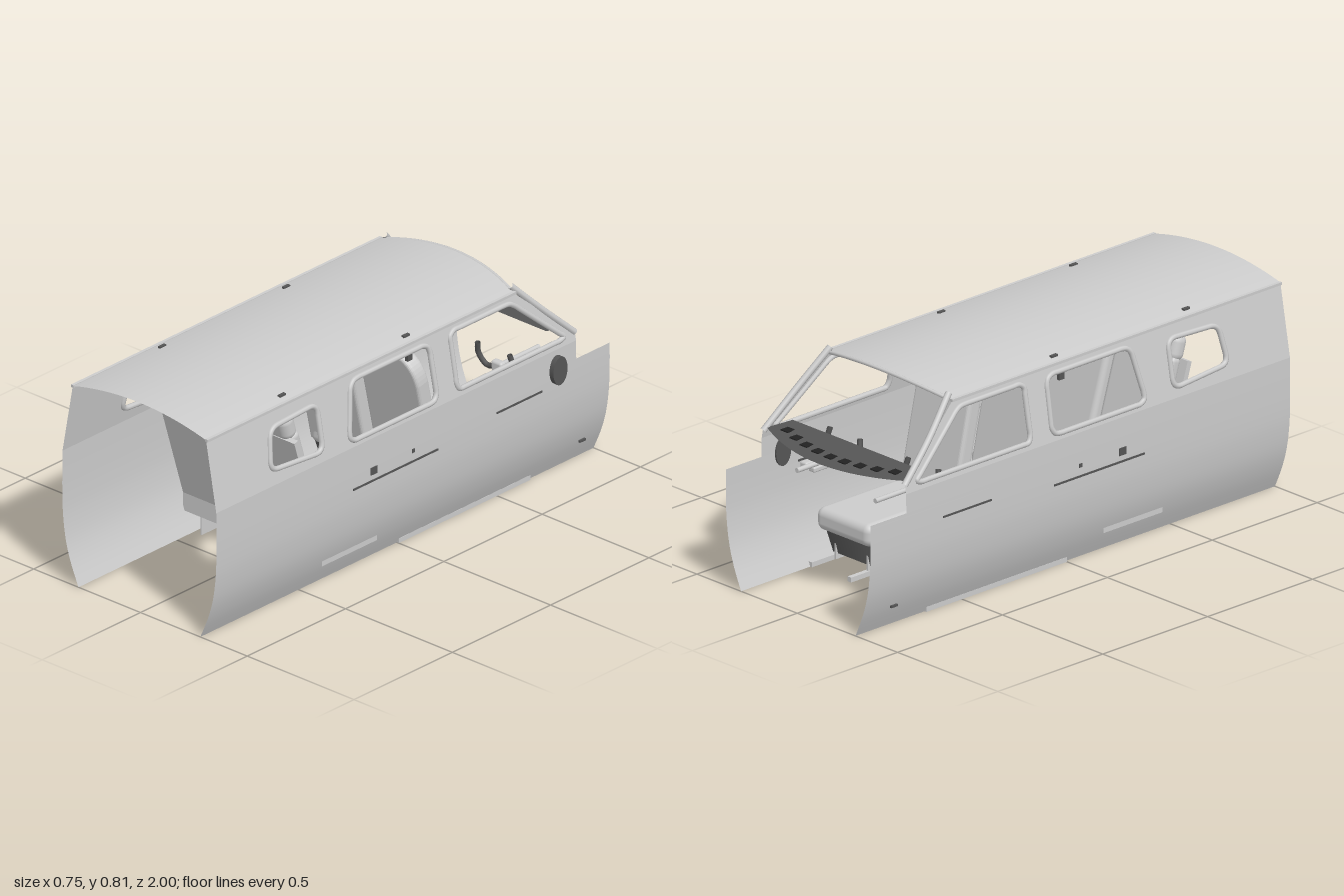
import * as THREE from 'three';
import { RoundedBoxGeometry } from 'three/addons/geometries/RoundedBoxGeometry.js';

const grey = new THREE.MeshStandardMaterial({ color: 0xcccccc });
const skin = new THREE.MeshStandardMaterial({ color: 0xcccccc, side: THREE.DoubleSide });
const dark = new THREE.MeshStandardMaterial({ color: 0x555555, side: THREE.DoubleSide });

const V = (x, y, z) => new THREE.Vector3(x, y, z);
const sides = [1, -1];

export function createModel() {
  const root = new THREE.Group();
  const model = new THREE.Group();
  model.name = 'cabin';
  model.position.x = -0.005;
  root.add(model);

  const add = (name, geo, mat = grey, pos = [0, 0, 0], parent = model) => {
    const m = new THREE.Mesh(geo, mat);
    m.name = name;
    m.position.set(...pos);
    parent.add(m);
    return m;
  };
  const box = (name, w, h, d, x, y, z, mat = grey, parent = model) =>
    add(name, new THREE.BoxGeometry(w, h, d), mat, [x, y, z], parent);
  const soft = (name, w, h, d, x, y, z, r, parent = model) =>
    add(name, new RoundedBoxGeometry(w, h, d, 4, r), grey, [x, y, z], parent);
  const tube = (name, pts, r, closed = false, mat = grey) =>
    add(name, new THREE.TubeGeometry(new THREE.CatmullRomCurve3(pts, closed), pts.length * 4, r, 8, closed), mat);
  // Curved sheet from a rule (u, v in 0..1) -> point
  const sheet = (name, nu, nv, rule, mat = skin) => {
    const g = new THREE.PlaneGeometry(1, 1, nu, nv), p = g.attributes.position;
    for (let i = 0; i < p.count; i++) p.setXYZ(i, ...rule(p.getX(i) + 0.5, p.getY(i) + 0.5));
    g.computeVertexNormals();
    return add(name, g, mat);
  };

  // Side skins: curved belly, plain belt, then a window band leaning inward
  const belly = new THREE.SplineCurve([[0.285, 0], [0.32, 0.08], [0.344, 0.16], [0.357, 0.25], [0.361, 0.34], [0.361, 0.43]]
    .map(p => new THREE.Vector2(...p)));
  const wallX = y => 0.36 - 0.048 * (y - 0.5) / 0.265;
  const roundedPath = (pts, r) => {
    const path = new THREE.Path(), v = pts.map(p => new THREE.Vector2(...p));
    v.forEach((c, i) => {
      const a = v[(i + v.length - 1) % v.length], b = v[(i + 1) % v.length];
      const s = c.clone().add(a.clone().sub(c).setLength(r)), e = c.clone().add(b.clone().sub(c).setLength(r));
      if (i) path.lineTo(s.x, s.y); else path.moveTo(s.x, s.y);
      path.quadraticCurveTo(c.x, c.y, e.x, e.y);
    });
    path.closePath();
    return path;
  };
  const windows = [
    roundedPath([[-0.23, 0.525], [-0.785, 0.525], [-0.54, 0.735], [-0.23, 0.735]], 0.025),
    roundedPath([[0.32, 0.522], [-0.13, 0.522], [-0.125, 0.732], [0.275, 0.732]], 0.04),
    roundedPath([[0.715, 0.555], [0.45, 0.535], [0.45, 0.71], [0.69, 0.7]], 0.04)
  ];
  const band = new THREE.Shape([[1, 0.5], [-0.83, 0.5], [-0.83, 0.53], [-0.56, 0.765], [1, 0.765]].map(p => new THREE.Vector2(...p)));
  band.holes.push(...windows);

  for (const s of sides) {
    sheet('lowerSideSkin', 24, 1, (u, v) => {
      const p = belly.getPoint(u);
      return [s * p.x, p.y, 1 - 2 * v];
    });
    sheet('beltSkin', 1, 1, (u, v) => [s * (0.361 - 0.001 * u), 0.43 + 0.07 * u, 1 - 1.83 * v]);
    const g = new THREE.ShapeGeometry(band, 8), p = g.attributes.position;
    for (let i = 0; i < p.count; i++) p.setXYZ(i, s * wallX(p.getY(i)), p.getY(i), p.getX(i));
    g.computeVertexNormals();
    add('windowBand', g, skin);
    // Raised window surrounds
    for (const w of windows) {
      const pts = w.getSpacedPoints(48).slice(0, -1).map(q => V(s * wallX(q.y), q.y, q.x));
      tube('windowSurround', pts, 0.01, true);
    }
    // Windshield post and rain rail
    tube('windshieldPost', [V(s * 0.295, 0.785, -0.565), V(s * 0.328, 0.66, -0.69), V(s * 0.352, 0.53, -0.83)], 0.012);
    box('rainRail', 0.012, 0.01, 1.57, s * 0.314, 0.763, 0.215);
    // Door trims, latches and armrests
    box('rearDoorTrim', 0.006, 0.007, 0.43, s * 0.361, 0.338, 0.09, dark);
    box('frontDoorTrim', 0.006, 0.007, 0.23, s * 0.361, 0.368, -0.54, dark);
    box('doorLatch', 0.006, 0.028, 0.034, s * 0.361, 0.375, 0.2, dark);
    box('lockButton', 0.006, 0.014, 0.014, s * 0.361, 0.378, 0, dark);
    box('stepCatch', 0.008, 0.008, 0.03, s * 0.347, 0.095, -0.875, dark);
    for (const z of [-0.52, 0.08]) {
      soft('armrest', 0.034, 0.025, 0.26, s * 0.343, 0.353, z, 0.008);
      soft('armrestBracket', 0.03, 0.02, 0.18, s * 0.343, 0.327, z, 0.006);
    }
    for (const z of [-0.05, 0.58]) box('roofLamp', 0.012, 0.008, 0.03, s * 0.28, 0.775, z, dark);
    box('beltAnchor', 0.012, 0.045, 0.025, s * 0.305, 0.715, -0.04, dark);
  }

  // Crowned roof with a bowed front edge
  const roofY = x => 0.805 - 0.04 * (x / 0.312) ** 2;
  const roofFront = x => -0.61 + 0.045 * (x / 0.312) ** 2;
  sheet('roof', 24, 8, (u, v) => {
    const x = 0.312 * (2 * u - 1);
    return [x, roofY(x), 1 + (roofFront(x) - 1) * v];
  });
  sheet('windshieldHeader', 24, 1, (u, v) => {
    const x = 0.3 * (2 * u - 1);
    return [x, roofY(x) - 0.027 * v * (1 - (x / 0.33) ** 2), roofFront(x) + 0.05 * v];
  });
  tube('roofFrontEdge', Array.from({ length: 13 }, (_, i) => {
    const x = -0.3 + i * 0.05;
    return V(x, roofY(x) - 0.004, roofFront(x));
  }), 0.007);
  for (const s of sides)
    tube('visorRod', [V(s * 0.09, 0.79, -0.54), V(s * 0.17, 0.784, -0.535), V(s * 0.25, 0.77, -0.53)], 0.006);

  // Glareshield with a row of vents
  const shieldY = z => 0.555 + (z + 0.73) * 0.14;
  const shieldFront = x => -0.905 + 0.085 * (x / 0.345) ** 2;
  sheet('glareshield', 24, 4, (u, v) => {
    const x = (0.31 + 0.035 * v) * (2 * u - 1), z = -0.73 + (shieldFront(x) + 0.73) * v;
    return [x, shieldY(z), z];
  }, dark);
  const ventMat = new THREE.MeshStandardMaterial({ color: 0x222222 });
  for (let i = -4; i <= 4; i++) {
    const x = i * 0.067, z = shieldFront(x) + 0.06;
    box('glareshieldVent', 0.035, 0.004, 0.035, x, shieldY(z) + 0.001, z, ventMat);
  }

  // Oval air scoop on one side
  const scoop = add('airScoop', new THREE.CylinderGeometry(1, 1, 0.025, 32), dark, [0.367, 0.425, -0.73]);
  scoop.rotation.z = Math.PI / 2;
  scoop.scale.set(0.054, 1, 0.036);

  // Rear bench: base on thin plates, tilted back, two cushions with head rolls
  box('benchBase', 0.65, 0.07, 0.28, 0, 0.11, 0.285);
  for (const x of [-0.25, -0.055, 0.055, 0.25]) box('benchPlate', 0.005, 0.075, 0.26, x, 0.0375, 0.285);
  const back = new THREE.Group();
  back.name = 'benchBack';
  back.position.set(0, 0.145, 0.415);
  back.rotation.x = 0.3;
  model.add(back);
  box('benchBackPanel', 0.65, 0.475, 0.02, 0, 0.238, 0, grey, back);
  for (const s of sides) {
    soft('benchSeatCushion', 0.29, 0.08, 0.3, s * 0.155, 0.18, 0.25, 0.025);
    soft('benchBackCushion', 0.285, 0.46, 0.05, s * 0.153, 0.25, -0.03, 0.02, back);
    soft('benchHeadRoll', 0.285, 0.1, 0.065, s * 0.153, 0.51, -0.022, 0.03, back);
  }

  // Front seats on rails
  const seatBack = new THREE.Shape();
  seatBack.moveTo(-0.125, 0);
  seatBack.lineTo(0.125, 0);
  seatBack.lineTo(0.125, 0.42);
  seatBack.quadraticCurveTo(0.115, 0.52, 0.03, 0.525);
  seatBack.quadraticCurveTo(-0.09, 0.52, -0.125, 0.42);
  const seatBackGeo = new THREE.ExtrudeGeometry(seatBack, {
    depth: 0.03, bevelSize: 0.012, bevelThickness: 0.015, bevelSegments: 4, curveSegments: 12
  });
  for (const s of sides) {
    const x = s * 0.16;
    soft('frontSeatCushion', 0.27, 0.085, 0.46, x, 0.17, -0.41, 0.03);
    const b = add('frontSeatBack', seatBackGeo, grey, [x, 0.16, -0.23]);
    b.rotation.x = 0.22;
    const pan = add('frontSeatPan', new THREE.CylinderGeometry(Math.SQRT1_2, 0.62, 0.1, 4, 1, true).rotateY(Math.PI / 4), dark, [x, 0.085, -0.4]);
    pan.scale.set(0.25, 1, 0.4);
    for (const rx of [0.09, 0.285]) {
      box('seatRail', 0.018, 0.018, 0.67, s * rx, 0.009, -0.335);
      for (const z of [-0.56, -0.24]) box('seatFoot', 0.008, 0.07, 0.05, s * (rx === 0.09 ? 0.09 : 0.25), 0.05, z);
    }
    // Control yoke: open U grip, hub and shaft
    const grip = tube('yokeGrip', [V(-0.075, 0.06, 0.02), V(-0.08, 0.015, 0.01), V(-0.05, -0.025, 0), V(0, -0.015, 0),
      V(0.05, -0.025, 0), V(0.08, 0.015, 0.01), V(0.075, 0.06, 0.02)], 0.01, false, dark);
    grip.position.set(s * 0.195, 0.44, -0.61);
    soft('yokeHub', 0.05, 0.04, 0.03, s * 0.195, 0.425, -0.615, 0.01);
    add('yokeShaft', new THREE.CylinderGeometry(0.009, 0.009, 0.2, 12).rotateX(Math.PI / 2), grey, [s * 0.195, 0.425, -0.72]);
  }
  return root;
}
